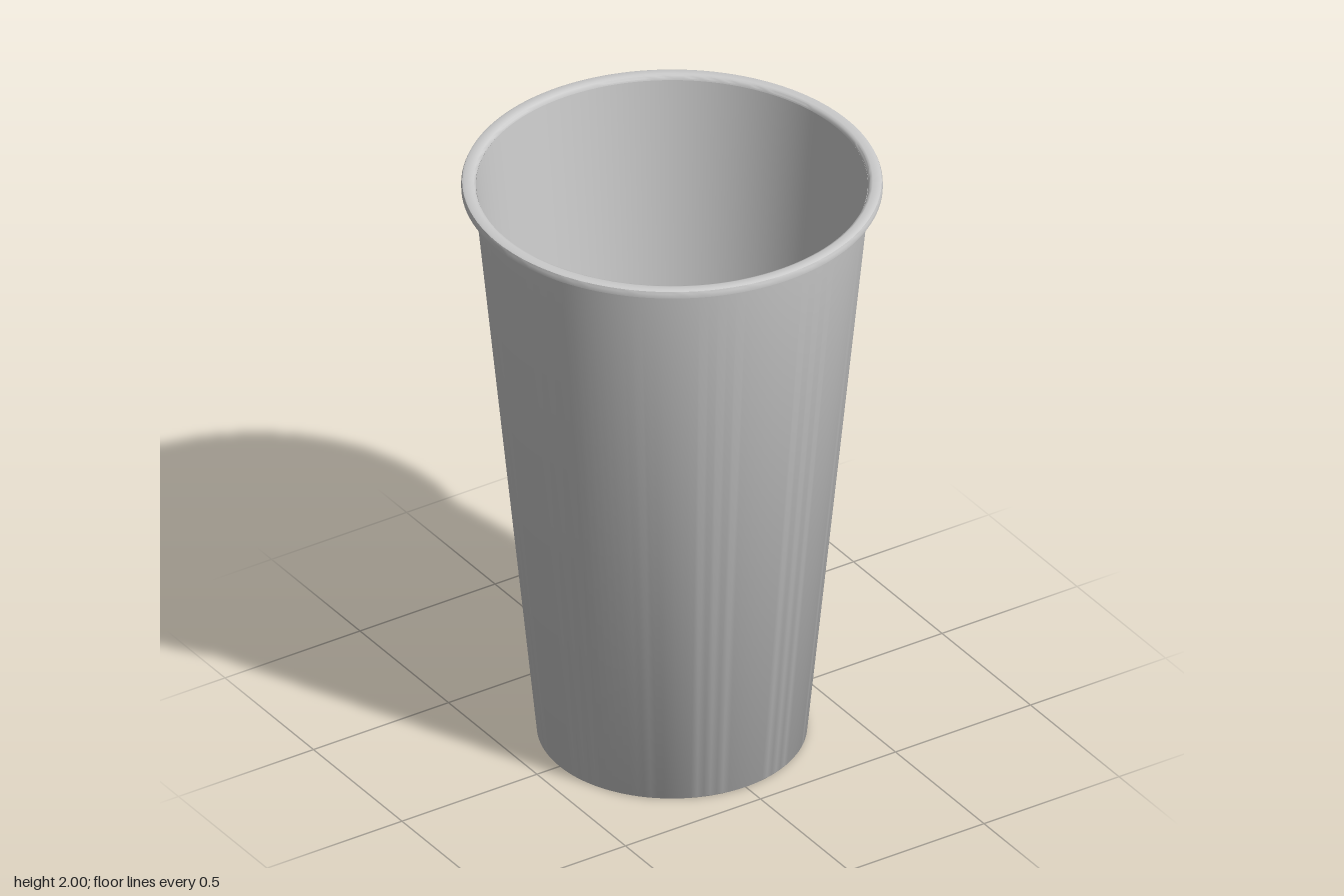
import * as THREE from 'three';
import { toCreasedNormals } from 'three/addons/utils/BufferGeometryUtils.js';

const material = new THREE.MeshStandardMaterial({ color: 0xcccccc });

// Turns a profile of [radius, height] pairs around the y axis, keeping hard edges
function turned(name, profile) {
  const points = profile.map(([r, y]) => new THREE.Vector2(r, y));
  const geometry = toCreasedNormals(new THREE.LatheGeometry(points, 128), 0.6);
  const mesh = new THREE.Mesh(geometry, material);
  mesh.name = name;
  return mesh;
}

export function createModel() {
  const group = new THREE.Group();
  group.name = 'cup';

  // Tapered wall: foot ring, outer face, inner face
  group.add(turned('wall', [
    [0.408, 0.018], [0.408, 0], [0.416, 0], [0.419, 0.004],
    [0.614, 1.975], [0.607, 1.985], [0.412, 0.028],
  ]));

  // Flanged rim with softened top edges
  group.add(turned('rim', [
    [0.613, 1.975], [0.653, 1.975], [0.653, 1.99], [0.65, 1.997], [0.643, 2],
    [0.622, 2], [0.614, 1.997], [0.609, 1.99], [0.607, 1.98],
  ]));

  // Thin floor, raised in the middle, with a small dome at the centre
  group.add(turned('floor', [
    [0, 0.036], [0.036, 0.036], [0.038, 0.03], [0.185, 0.03], [0.193, 0.018], [0.41, 0.018],
    [0.412, 0.028], [0.203, 0.028], [0.199, 0.03], [0.19, 0.04], [0.186, 0.042],
    [0.054, 0.042], [0.05, 0.047], [0.044, 0.047], [0.038, 0.042],
    [0.03, 0.047], [0.016, 0.051], [0, 0.052],
  ]));

  // Four short stacking ribs where the wall meets the floor
  const ribs = new THREE.Group();
  ribs.name = 'stackingRibs';
  const shape = new THREE.Shape([
    [0.39, 0.026], [0.414, 0.026], [0.424, 0.12], [0.417, 0.12], [0.392, 0.09],
  ].map(([x, y]) => new THREE.Vector2(x, y)));
  const ribGeometry = new THREE.ExtrudeGeometry(shape, { depth: 0.01, bevelEnabled: false });
  ribGeometry.translate(0, 0, -0.005);
  for (let i = 0; i < 4; i++) {
    const rib = new THREE.Mesh(ribGeometry, material);
    rib.name = 'stackingRib';
    rib.rotation.y = i * Math.PI / 2;
    ribs.add(rib);
  }
  group.add(ribs);
  return group;
}
